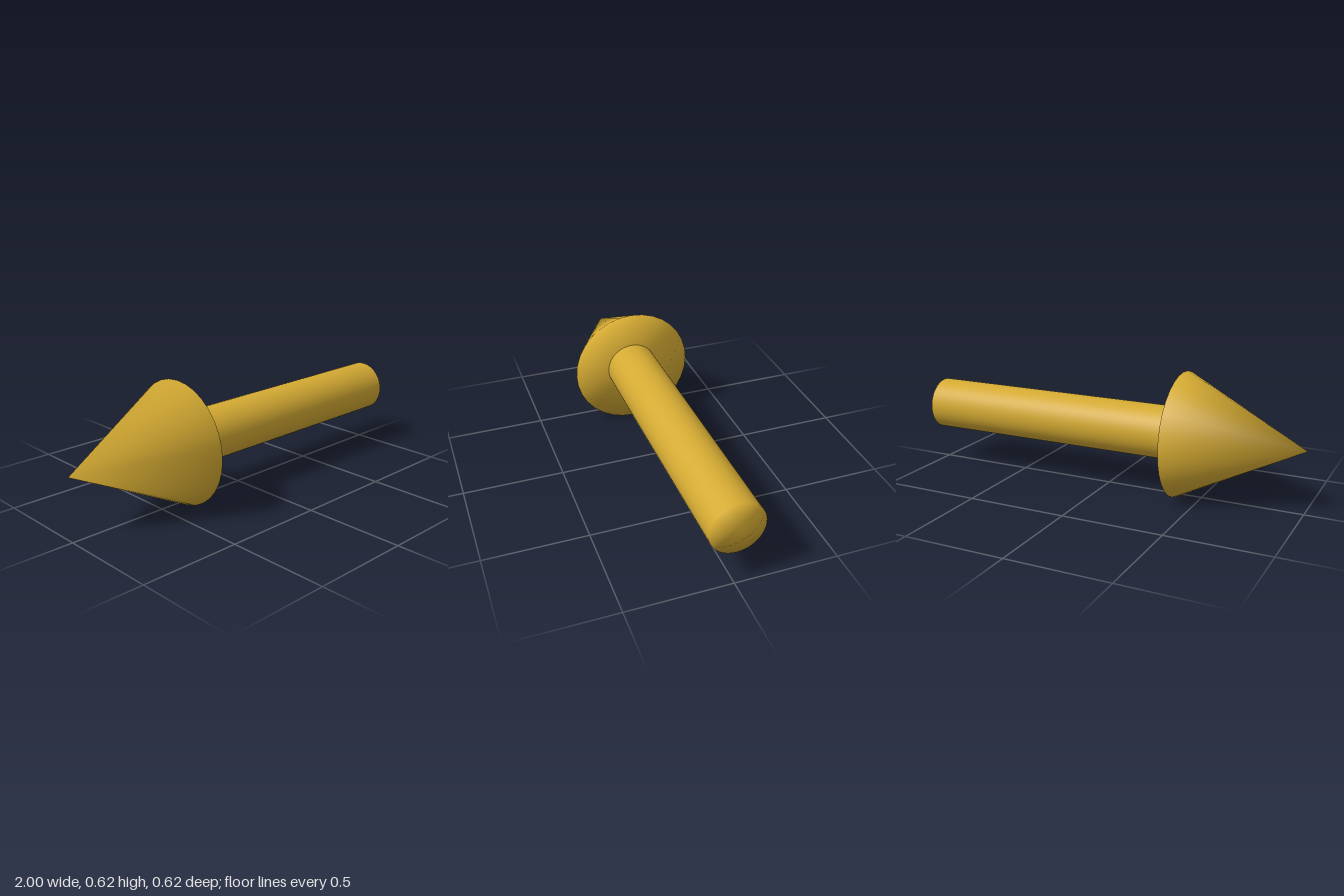
import * as THREE from 'three';
import { mergeVertices } from 'three/addons/utils/BufferGeometryUtils.js';

const AXIS_Y = 0.308;
const HEAD_RADIUS = 0.308;
const SHAFT_RADIUS = 0.131;
const TIP_X = -1, NECK_X = -0.39, TAIL_X = 1;

// Lay an upright solid along the x axis (top towards -x) and smooth it over its rims
function layDown(geometry, x0, x1) {
  geometry.deleteAttribute('uv');
  geometry.deleteAttribute('normal');
  const smooth = mergeVertices(geometry, 1e-4);
  smooth.rotateZ(Math.PI / 2);
  smooth.translate((x0 + x1) / 2, AXIS_Y, 0);
  smooth.computeVertexNormals();
  return smooth;
}

export function createModel() {
  const arrow = new THREE.Group();
  arrow.name = 'arrow';
  const gold = new THREE.MeshStandardMaterial({ color: 0xd4aa33 });

  // Pointed head
  const head = new THREE.Mesh(
    layDown(new THREE.ConeGeometry(HEAD_RADIUS, NECK_X - TIP_X, 32), TIP_X, NECK_X), gold);
  head.name = 'arrowHead';

  // Round shaft
  const shaft = new THREE.Mesh(
    layDown(new THREE.CylinderGeometry(SHAFT_RADIUS, SHAFT_RADIUS, TAIL_X - NECK_X, 64), NECK_X, TAIL_X), gold);
  shaft.name = 'shaft';

  arrow.add(head, shaft);
  return arrow;
}
